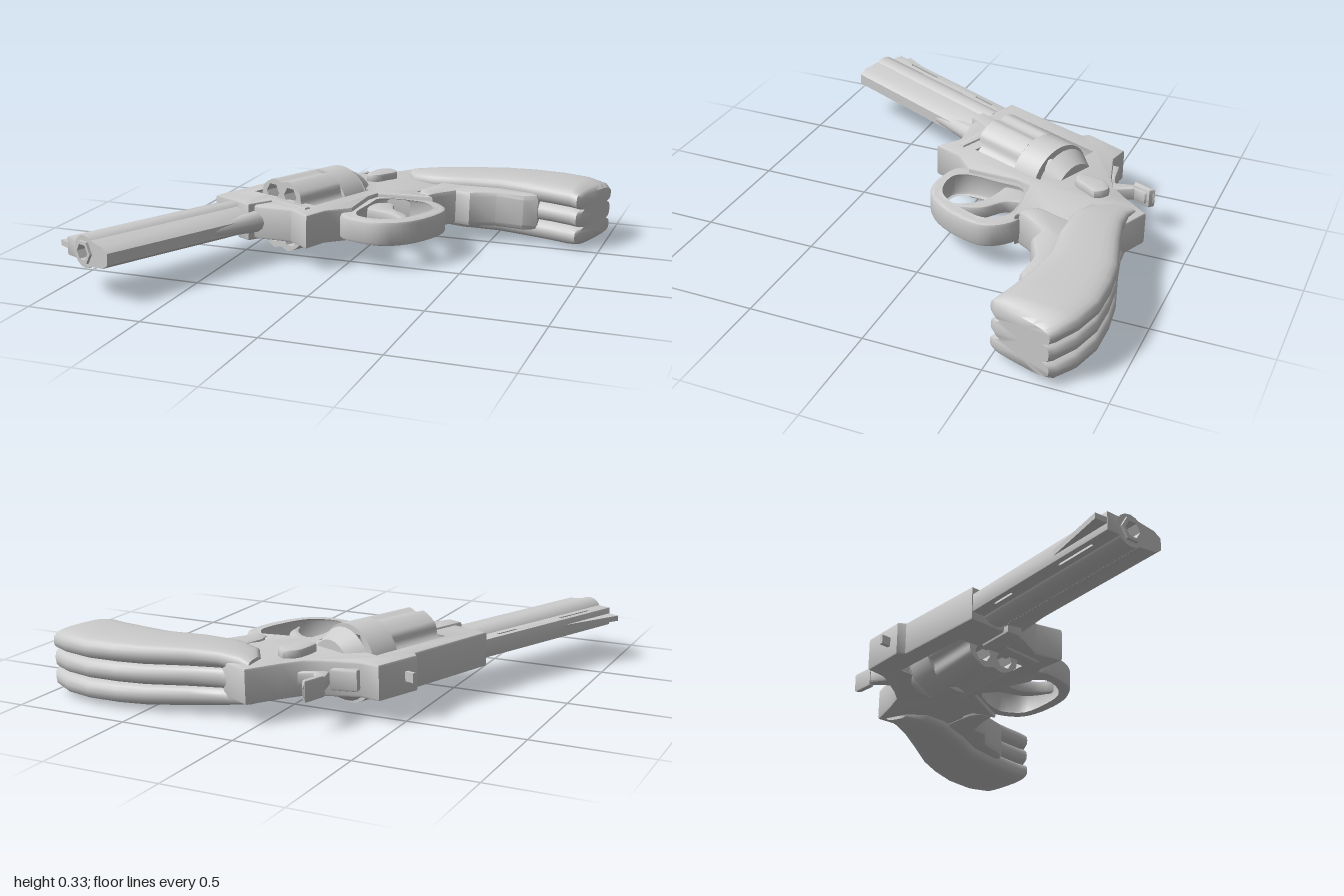
import * as THREE from 'three';
import { toCreasedNormals } from 'three/addons/utils/BufferGeometryUtils.js';

const material = new THREE.MeshStandardMaterial({ color: 0xcccccc, side: THREE.DoubleSide });

function add(parent, name, geometry, x = 0, y = 0, z = 0) {
  const mesh = new THREE.Mesh(geometry, material);
  mesh.name = name;
  mesh.position.set(x, y, z);
  parent.add(mesh);
  return mesh;
}

// Outline points are [x, z] seen from above
const toPoints = (pts) => pts.map(([x, z]) => new THREE.Vector2(x, -z));
const smooth = (pts, n = 36) => new THREE.CatmullRomCurve3(
  pts.map(([x, z]) => new THREE.Vector3(x, 0, z)), true).getPoints(n).slice(0, n).map((p) => [p.x, p.z]);

// Flat plate of half thickness h, centred on y = 0
function slab(pts, h, holes = [], bevel = 0.01) {
  const shape = new THREE.Shape(toPoints(pts));
  holes.forEach((hole) => shape.holes.push(new THREE.Path(toPoints(hole))));
  const geo = new THREE.ExtrudeGeometry(shape, {
    depth: 2 * (h - bevel), bevelEnabled: bevel > 0, bevelSize: bevel, bevelThickness: bevel,
    bevelOffset: -bevel, bevelSegments: 2,
  });
  geo.translate(0, 0, -(h - bevel));
  geo.rotateX(-Math.PI / 2);
  return toCreasedNormals(geo, 0.6);
}

const circle = (x, y, r, n, turn = 0) => Array.from({ length: n }, (_, i) => {
  const a = turn + (i / n) * Math.PI * 2;
  return new THREE.Vector2(x + r * Math.cos(a), y + r * Math.sin(a));
});

// Section in the x-y plane run along z
function bar(points, holes, length) {
  const shape = new THREE.Shape(points);
  holes.forEach((h) => shape.holes.push(new THREE.Path(h)));
  return toCreasedNormals(new THREE.ExtrudeGeometry(shape, { depth: length, bevelEnabled: false }), 0.6);
}

// Rounded lobe through stations [topX, topZ, bottomX, bottomZ, halfThickness]
function lobe(stations, side, inset) {
  const n = 24, pos = [], index = [];
  const rings = [[...stations[0], 0], ...stations.map((s) => [...s, 1]), [...stations.at(-1), 0]];
  const pow = (v) => Math.sign(v) * Math.abs(v) ** 0.65;
  rings.forEach(([tx, tz, bx, bz, h, k]) => {
    const cy = side * (0.035 + h) / 2, b = side ? (h - 0.035) / 2 : 0.05;
    for (let j = 0; j < n; j++) {
      const a = (j / n) * Math.PI * 2, c = pow(Math.cos(a)) * k * inset / 2, s = pow(Math.sin(a)) * k;
      pos.push((tx + bx) / 2 + (bx - tx) * c, cy + b * s, (tz + bz) / 2 + (bz - tz) * c);
    }
  });
  for (let i = 0; i < rings.length - 1; i++) {
    for (let j = 0; j < n; j++) {
      const a = i * n + j, c = i * n + (j + 1) % n;
      index.push(a, a + n, c, c, a + n, c + n);
    }
  }
  const geo = new THREE.BufferGeometry();
  geo.setAttribute('position', new THREE.Float32BufferAttribute(pos, 3));
  geo.setIndex(index);
  return toCreasedNormals(geo, 0.9);
}

export function createModel() {
  const model = new THREE.Group();
  model.name = 'revolver';
  const body = new THREE.Group();
  body.name = 'body';
  body.position.y = 0.173;
  body.rotation.set(-0.0104, 0, -0.018);
  model.add(body);

  // Frame with the cylinder window
  add(body, 'frame', slab([
    [-0.42, -0.59], [-0.33, -0.57], [-0.18, -0.61], [-0.11, -0.64], [-0.05, -0.71], [0.04, -0.83],
    [0.17, -0.77], [0.27, -0.67], [0.26, -0.52], [0.19, -0.46], [0.18, -0.41], [0.27, -0.34], [0.02, -0.31],
    [0, -0.24], [0, -0.02], [-0.09, 0.07], [-0.13, 0.19], [-0.23, 0.12], [-0.38, 0.13],
    [-0.63, 0.03], [-0.48, -0.37], [-0.5, -0.4],
  ], 0.075, [[[-0.36, -0.48], [-0.02, -0.34], [-0.155, 0.03], [-0.51, -0.09]]]));

  // Trigger and guard
  add(body, 'triggerGuard', slab(
    smooth([[0.02, -0.33], [0.25, -0.36], [0.34, -0.29], [0.365, -0.22], [0.33, -0.08], [0.26, 0.03],
      [0.17, 0.085], [0.06, 0.08], [-0.03, 0.04], [-0.05, -0.14]]), 0.055,
    [smooth([[0.03, -0.3], [0.24, -0.32], [0.3, -0.27], [0.325, -0.21], [0.29, -0.09], [0.22, 0.02],
      [0.13, 0.055], [0.04, 0.04], [0.005, -0.02], [0.01, -0.16]])], 0.015));
  add(body, 'trigger', slab(smooth([[0, -0.3], [0.09, -0.32], [0.12, -0.24], [0.2, -0.17], [0.23, -0.09],
    [0.225, -0.02], [0.195, -0.09], [0.14, -0.15], [0.06, -0.18], [0, -0.2]]), 0.03));

  // Hammer, rear sight and latch
  add(body, 'hammer', slab([[-0.2, -0.8], [-0.185, -0.76], [-0.2, -0.71], [-0.16, -0.64], [-0.1, -0.66],
    [-0.04, -0.56], [-0.2, -0.54], [-0.22, -0.64], [-0.235, -0.7]], 0.03));
  add(body, 'hammerSpur', slab([[-0.205, -0.8], [-0.185, -0.78], [-0.21, -0.7], [-0.24, -0.7]], 0.045));
  add(body, 'rearSight', slab([[-0.33, -0.6], [-0.22, -0.615], [-0.22, -0.57], [-0.33, -0.55]], 0.045));
  add(body, 'sightScrew', slab([[-0.515, -0.475], [-0.46, -0.455], [-0.465, -0.44], [-0.52, -0.46]], 0.02, [], 0));
  add(body, 'latch', slab(smooth([[-0.08, -0.62], [-0.03, -0.645], [0.015, -0.6], [-0.01, -0.55],
    [-0.05, -0.49], [-0.1, -0.49], [-0.1, -0.56]], 20), 0.025, [], 0.012), 0, 0.085, 0);

  // Grip: two side panels, a spine between them and the finger strip
  const stations = [
    [0.045, -0.79, 0.05, -0.68, 0.09], [0.1, -0.775, 0.1, -0.6, 0.105], [0.19, -0.78, 0.2, -0.565, 0.12],
    [0.32, -0.81, 0.36, -0.565, 0.13], [0.5, -0.86, 0.52, -0.585, 0.135], [0.62, -0.875, 0.66, -0.56, 0.137],
    [0.76, -0.875, 0.78, -0.53, 0.137], [0.89, -0.84, 0.86, -0.505, 0.137],
    [0.98, -0.79, 0.895, -0.49, 0.128], [1.0, -0.765, 0.915, -0.51, 0.11],
  ];
  const grip = new THREE.Group();
  grip.name = 'grip';
  body.add(grip);
  add(grip, 'leftPanel', lobe(stations, 1, 1));
  add(grip, 'rightPanel', lobe(stations, -1, 1));
  add(grip, 'spine', lobe(stations, 0, 0.98));
  add(grip, 'fingerStrip', slab([[0.18, -0.43], [0.19, -0.37], [0.25, -0.345], [0.28, -0.4], [0.34, -0.48],
    [0.41, -0.465], [0.52, -0.52], [0.65, -0.51], [0.71, -0.54], [0.71, -0.6], [0.4, -0.64], [0.24, -0.62]],
  0.085, [], 0.025));

  // Barrel assembly: z runs along the bore, x towards the trigger
  const axis = new THREE.Group();
  axis.name = 'barrelAssembly';
  axis.position.set(-0.503, 0, 0.086);
  axis.rotation.y = -0.419;
  body.add(axis);
  const bore = -0.02;
  add(axis, 'barrel', bar(circle(bore, 0, 0.069, 16), [circle(bore, 0, 0.042, 6)], 0.8));
  add(axis, 'muzzleRing', bar(circle(bore, 0, 0.052, 6), [circle(bore, 0, 0.036, 6)], 0.812));
  add(axis, 'topRib', slab([[-0.135, -0.02], [-0.07, -0.02], [-0.07, 0.8], [-0.135, 0.8]], 0.04,
    [[0.1, 0.22], [0.49, 0.69]].map(([a, b]) => [[-0.116, a], [-0.098, a], [-0.098, b], [-0.116, b]]), 0.004));
  add(axis, 'underLug', bar(toPoints([[0.02, -0.055], [0.1, -0.045], [0.133, -0.025], [0.133, 0.025],
    [0.1, 0.045], [0.02, 0.055]]), [], 0.8));
  add(axis, 'frontSight', slab([[-0.13, 0.47], [-0.19, 0.795], [-0.12, 0.8]], 0.012, [], 0));
  const shroud = new THREE.CylinderGeometry(0.03, 0.05, 0.27, 12).rotateX(Math.PI / 2);
  add(axis, 'ejectorRod', shroud, 0.105, 0, 0.1);
  add(axis, 'crane', slab([[0.03, -0.15], [0.31, -0.15], [0.31, -0.12], [0.12, -0.1], [0.1, 0.02], [0.03, 0.02]], 0.085));

  // Fluted cylinder with six chambers
  const cylinder = new THREE.Group();
  cylinder.name = 'cylinder';
  cylinder.position.set(0.106, 0, -0.36);
  axis.add(cylinder);
  const R = 0.166;
  const fluted = circle(0, 0, 1, 72).map((p) => {
    const wave = Math.max(0, -Math.cos(6 * Math.atan2(p.y, p.x)) - 0.2);
    return p.multiplyScalar(R - 0.022 * wave);
  });
  const chambers = Array.from({ length: 6 }, (_, i) => {
    const a = (i * Math.PI) / 3;
    return circle(0.112 * Math.cos(a), 0.112 * Math.sin(a), 0.04, 6, a);
  });
  add(cylinder, 'flutedFront', bar(fluted, chambers, 0.25), 0, 0, -0.06);
  add(cylinder, 'plainRear', bar(circle(0, 0, R, 36), chambers, 0.13), 0, 0, -0.19);
  const pin = new THREE.CylinderGeometry(0.035, 0.035, 0.42, 12).rotateX(Math.PI / 2);
  add(cylinder, 'cylinderPin', pin);

  // Recoil shield closing the rear of the chambers
  const shield = new THREE.CylinderGeometry(0.155, 0.115, 0.075, 24).rotateX(Math.PI / 2);
  add(axis, 'recoilShield', toCreasedNormals(shield, 0.6), 0.106, 0, -0.605);

  return model;
}
